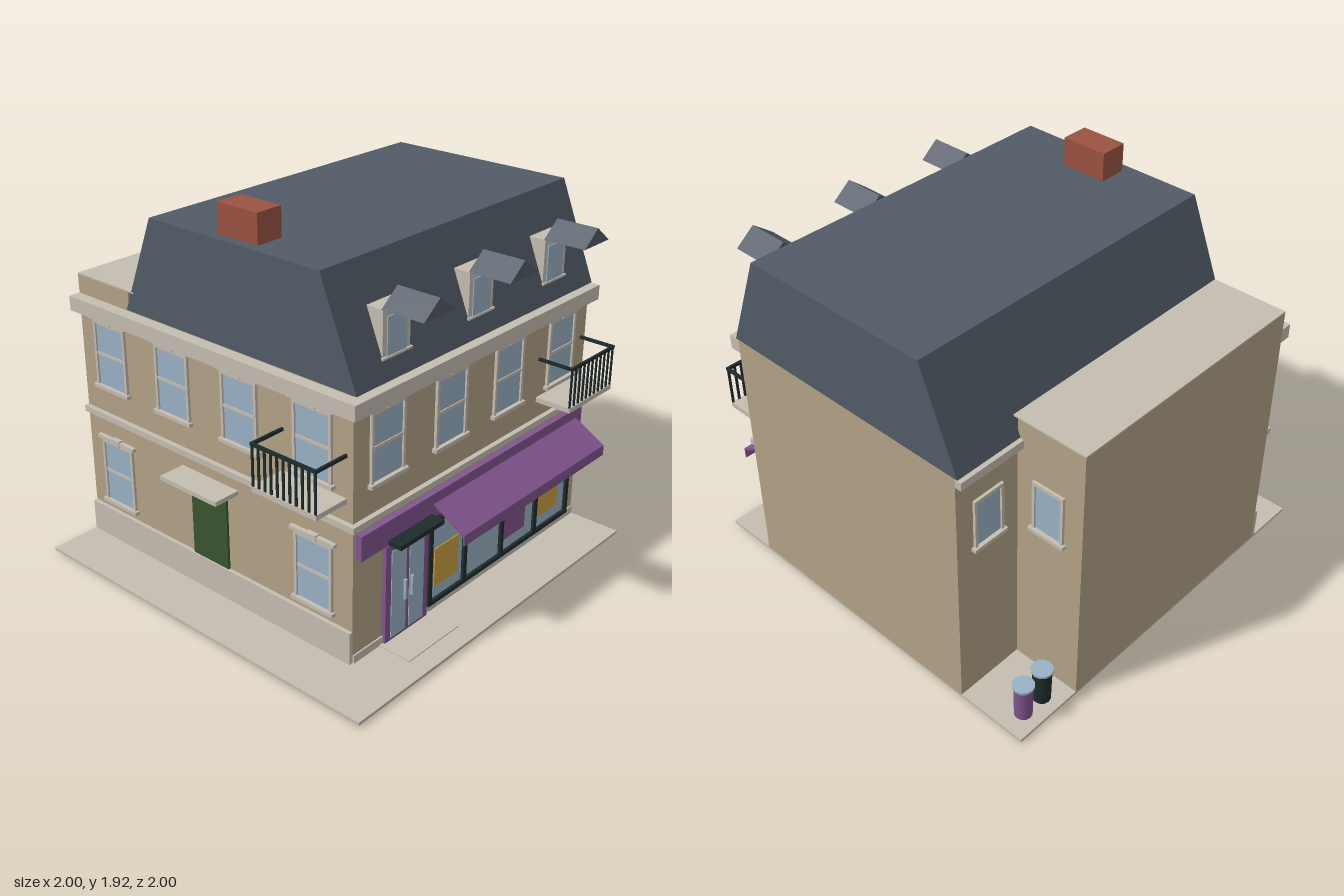
import * as THREE from 'three';

const mat = (name, color, extra = {}) => {
  const m = new THREE.MeshStandardMaterial({ color, ...extra });
  m.name = name;
  return m;
};

export function createModel() {
  const model = new THREE.Group();
  model.name = 'cornerShop';
  const wall = mat('wallStone', 0xb4a286);
  const trim = mat('paleTrim', 0xc5bdb1);
  const slate = mat('slateRoof', 0x525b66);
  const glass = mat('glass', 0x9ab1c6);
  const purple = mat('purplePaint', 0x815590);
  const dark = mat('darkMetal', 0x1f2b2c);
  const yellow = mat('yellowPoster', 0xcb9e42);
  const brick = mat('brick', 0x9b5242);
  const green = mat('greenDoor', 0x38542f);

  // Box given by its minimum and maximum on each axis
  const box = (name, m, x0, x1, y0, y1, z0, z1, parent = model) => {
    const mesh = new THREE.Mesh(new THREE.BoxGeometry(x1 - x0, y1 - y0, z1 - z0), m);
    mesh.position.set((x0 + x1) / 2, (y0 + y1) / 2, (z0 + z1) / 2);
    mesh.name = name;
    parent.add(mesh);
    return mesh;
  };
  // Group on a wall whose local +z points out of the wall
  const place = (name, x, y, z, turn = 0) => {
    const g = new THREE.Group();
    g.name = name;
    g.position.set(x, y, z);
    g.rotation.y = turn;
    model.add(g);
    return g;
  };
  const prism = (name, m, points, depth) => {
    const shape = new THREE.Shape(points.map(p => new THREE.Vector2(...p)));
    const mesh = new THREE.Mesh(new THREE.ExtrudeGeometry(shape, { depth, bevelEnabled: false }), m);
    mesh.name = name;
    model.add(mesh);
    return mesh;
  };
  const LEFTWARD = -Math.PI / 2, RIGHTWARD = Math.PI / 2;

  // Ground and main masses
  box('pavement', trim, -1, 1, 0.01, 0.025, -1, 1);
  box('doorStep', trim, -0.55, -0.2, 0, 0.03, 0.72, 0.9);
  box('mainBuilding', wall, -0.72, 1, 0.02, 1.305, -0.64, 0.72);
  box('rearWing', wall, -0.72, 0.64, 0.02, 1.395, -1, -0.64);
  box('rearWingRoof', trim, -0.72, 0.64, 1.395, 1.402, -1, -0.6);

  // Mansard roof, a profile in z and y swept along x
  const roof = prism('mansardRoof', slate,
    [[-0.735, 1.305], [0.655, 1.305], [0.46, 1.785], [-0.54, 1.785]], 1.72);
  roof.rotation.y = Math.PI / 2;
  roof.position.x = -0.72;
  box('chimney', brick, -0.67, -0.53, 1.77, 1.925, -0.08, 0.155);

  // Cornice, string course and plinths
  box('frontCornice', trim, -0.78, 1, 1.23, 1.302, 0.72, 0.78);
  box('sideCornice', trim, -0.78, -0.72, 1.23, 1.302, -1, 0.72);
  box('rearCornice', trim, 0.64, 1, 1.26, 1.302, -0.675, -0.64);
  box('frontStringCourse', trim, -0.745, 1, 0.69, 0.72, 0.72, 0.745);
  box('sideStringCourse', trim, -0.745, -0.72, 0.69, 0.72, -1, 0.72);
  box('sidePlinth', trim, -0.74, -0.72, 0.025, 0.185, -1, 0.72);
  box('frontPlinthSmall', trim, -0.72, -0.525, 0.025, 0.065, 0.72, 0.728);
  box('frontPlinth', trim, -0.23, 1, 0.025, 0.065, 0.72, 0.728);

  // Sash window, origin at the bottom of the sill
  const sashWindow = (x, y, z, turn, w = 0.11, h = 0.35, lintel = true) => {
    const g = place('window', x, y, z, turn);
    const i = w - 0.015;
    box('glassPane', glass, -i, i, 0.015, h - 0.015, 0, 0.005, g);
    for (const s of [-1, 1]) {
      const c = s * (w - 0.0075);
      box('frameSide', trim, c - 0.0075, c + 0.0075, 0.015, h, 0, 0.014, g);
    }
    box('frameTop', trim, -i, i, h - 0.018, h, 0, 0.014, g);
    box('sill', trim, -w - 0.012, w + 0.012, 0, 0.018, 0, 0.025, g);
    if (lintel) {
      box('sashRail', trim, -i, i, 0.172, 0.186, 0, 0.01, g);
      box('lintel', trim, -w - 0.02, w + 0.02, h, h + 0.018, 0, 0.022, g);
      box('keystone', trim, -0.03, 0.03, h - 0.004, h + 0.025, 0, 0.026, g);
    }
  };
  for (const x of [-0.51, -0.08, 0.35, 0.78]) sashWindow(x, 0.85, 0.72, 0);
  for (const z of [-0.79, -0.36, 0.07, 0.5]) sashWindow(-0.72, 0.85, z, LEFTWARD);
  for (const z of [-0.79, 0.5]) sashWindow(-0.72, 0.222, z, LEFTWARD);
  sashWindow(0.64, 0.855, -0.817, RIGHTWARD, 0.085, 0.27, false);
  sashWindow(0.82, 0.855, -0.64, Math.PI, 0.085, 0.27, false);

  // Side door and its canopy
  box('sideDoor', green, -0.732, -0.72, 0.025, 0.58, -0.26, -0.03);
  box('sideDoorCanopy', trim, -0.86, -0.72, 0.6, 0.622, -0.325, 0.04);

  // Balconies with railings
  const balcony = (x, z, turn) => {
    const g = place('balcony', x, 0, z, turn);
    box('balconySlab', trim, -0.183, 0.183, 0.805, 0.83, 0, 0.188, g);
    box('frontRail', dark, -0.185, 0.185, 1.02, 1.035, 0.177, 0.189, g);
    for (const s of [-1, 1])
      box('sideRail', dark, s * 0.179 - 0.006, s * 0.179 + 0.006, 1.02, 1.035, 0, 0.18, g);
    for (let i = 0; i < 11; i++) {
      const c = -0.177 + i * 0.0354;
      box('baluster', dark, c - 0.006, c + 0.006, 0.83, 1.02, 0.18, 0.186, g);
    }
  };
  balcony(0.783, 0.72, 0);
  balcony(-0.72, 0.503, LEFTWARD);

  // Dormers
  for (const x of [-0.435, 0.14, 0.71]) {
    box('dormerBody', trim, x - 0.088, x + 0.088, 1.39, 1.605, 0.5, 0.7);
    box('dormerGlass', glass, x - 0.062, x + 0.062, 1.395, 1.57, 0.7, 0.705);
    box('dormerSill', trim, x - 0.095, x + 0.095, 1.388, 1.398, 0.68, 0.71);
    const cap = prism('dormerRoof', slate, [[-0.1, 1.61], [0.1, 1.61], [0, 1.688]], 0.215);
    cap.position.set(x, 0, 0.7);
  }

  // Shop sign board and awning
  box('signBoard', purple, -0.7, 0.98, 0.54, 0.66, 0.72, 0.75);
  const awning = prism('awning', purple,
    [[-0.745, 0.612], [-0.745, 0.6], [-0.912, 0.504], [-0.912, 0.46], [-0.92, 0.46], [-0.92, 0.514]], 1.14);
  awning.rotation.y = Math.PI / 2;
  awning.position.x = -0.21;

  // Shop front
  box('shopGlass', glass, -0.22, 0.92, 0.08, 0.51, 0.72, 0.73);
  box('shopFrameBottom', dark, -0.22, 0.92, 0.068, 0.09, 0.72, 0.745);
  box('shopFrameTop', dark, -0.22, 0.92, 0.495, 0.515, 0.72, 0.745);
  for (const x of [-0.211, 0.05, 0.345, 0.63, 0.91])
    box('mullion', dark, x - 0.012, x + 0.012, 0.07, 0.515, 0.72, 0.745);
  [[-0.085, yellow], [0.458, purple], [0.745, yellow]].forEach(([x, m]) =>
    box('poster', m, x - 0.088, x + 0.088, 0.15, 0.352, 0.73, 0.735));

  // Double entrance door with canopy
  box('entranceDoor', purple, -0.525, -0.23, 0.028, 0.525, 0.72, 0.74);
  for (const s of [-1, 1]) {
    const c = -0.377 + s * 0.062;
    box('doorGlass', glass, c - 0.05, c + 0.05, 0.045, 0.49, 0.74, 0.744);
    const h = -0.377 + s * 0.024;
    box('doorHandle', glass, h - 0.006, h + 0.006, 0.21, 0.31, 0.744, 0.757);
  }
  box('doorCanopy', dark, -0.525, -0.225, 0.542, 0.565, 0.72, 0.82);

  // Rubbish bins
  [[0.78, dark], [0.9, purple]].forEach(([x, m]) => {
    const bin = place('bin', x, 0, -0.92);
    const drum = (name, r0, r1, y, h, material) => {
      const mesh = new THREE.Mesh(new THREE.CylinderGeometry(r0, r1, h, 12), material);
      mesh.position.y = y + h / 2;
      mesh.name = name;
      bin.add(mesh);
    };
    drum('binBody', 0.046, 0.042, 0.05, 0.175, m);
    drum('binLid', 0.051, 0.051, 0.225, 0.012, glass);
  });

  return model;
}
